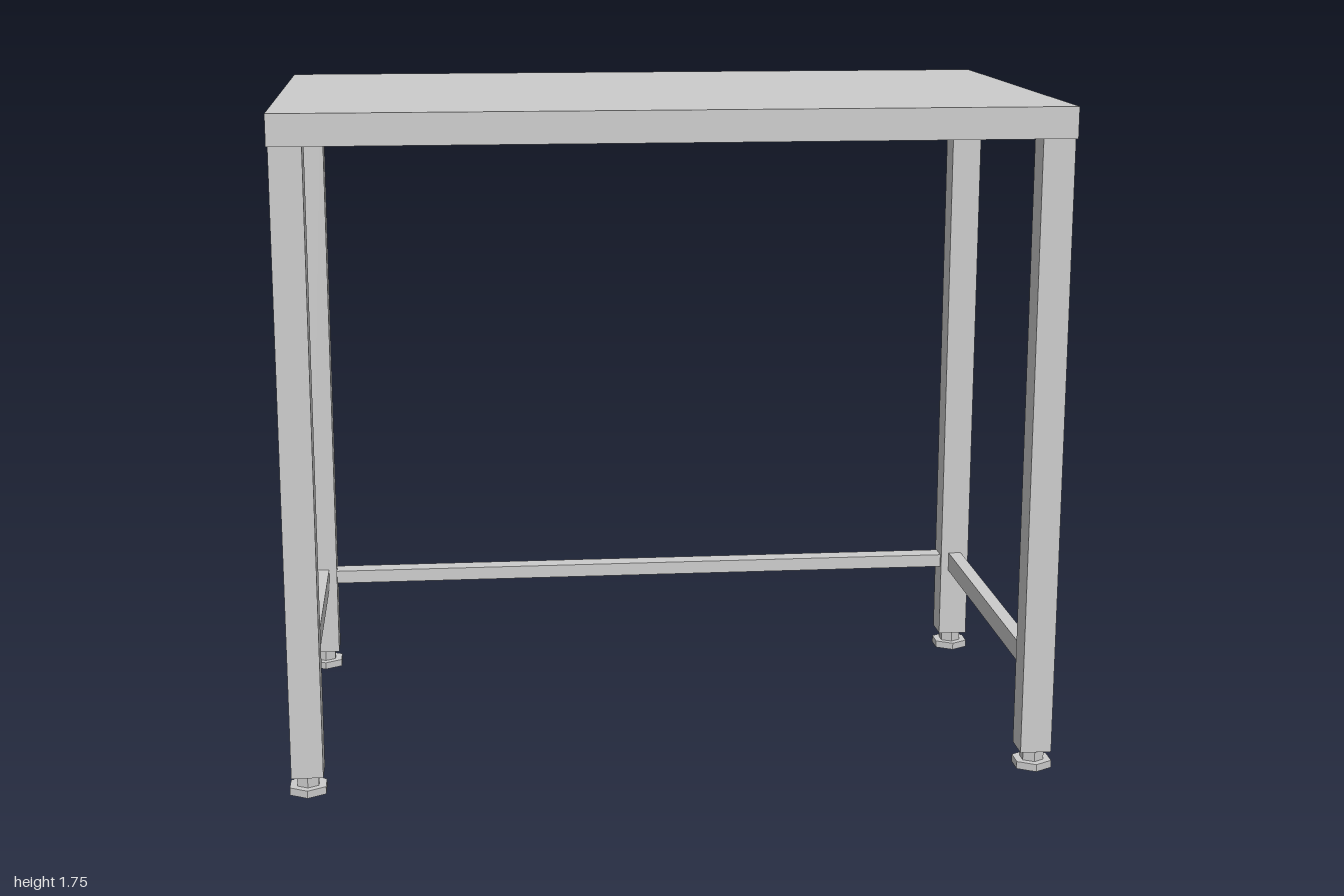
import * as THREE from 'three';

export function createModel() {
  const table = new THREE.Group();
  table.name = 'workTable';
  const material = new THREE.MeshStandardMaterial({ color: 0xcccccc, flatShading: true });

  const add = (parent, name, geometry, x, y, z) => {
    const mesh = new THREE.Mesh(geometry, material);
    mesh.name = name;
    mesh.position.set(x, y, z);
    parent.add(mesh);
    return mesh;
  };
  const box = (parent, name, w, h, d, x, y, z) =>
    add(parent, name, new THREE.BoxGeometry(w, h, d), x, y, z);

  // Tabletop: thin sheet folded down on all four sides, open underneath
  const halfX = 0.998, halfZ = 0.603, topY = 1.75, skirt = 0.08, sheet = 0.003;
  const top = new THREE.Group();
  top.name = 'tabletop';
  table.add(top);
  box(top, 'topSheet', 2 * halfX, sheet, 2 * halfZ, 0, topY - sheet / 2, 0);
  const skirtH = skirt - sheet, skirtY = topY - sheet - skirtH / 2;
  for (const s of [-1, 1]) {
    box(top, 'longSkirt', 2 * halfX, skirtH, sheet, 0, skirtY, s * (halfZ - sheet / 2));
    box(top, 'shortSkirt', sheet, skirtH, 2 * (halfZ - sheet), s * (halfX - sheet / 2), skirtY, 0);
  }

  // Square legs with hexagonal levelling feet; the rear pair is set in
  const leg = 0.082, legX = 0.9535, frontZ = 0.553, backZ = -0.44;
  const legBottom = 0.05, legTop = topY - sheet;
  for (const x of [-legX, legX]) {
    for (const z of [frontZ, backZ]) {
      const side = new THREE.Group();
      side.name = z > 0 ? 'frontLeg' : 'backLeg';
      side.position.set(x, 0, z);
      table.add(side);
      box(side, 'post', leg, legTop - legBottom, leg, 0, (legTop + legBottom) / 2, 0);
      add(side, 'footNeck', new THREE.CylinderGeometry(0.032, 0.032, 0.03, 6), 0, 0.035, 0);
      add(side, 'footPad', new THREE.CylinderGeometry(0.0535, 0.0535, 0.02, 6), 0, 0.01, 0);
    }
    // Side stretcher between front and back legs
    box(table, 'sideStretcher', 0.037, 0.055, frontZ - backZ - leg, x, 0.278, (frontZ + backZ) / 2);
  }

  // Rear stretcher, same bar laid flat
  box(table, 'backStretcher', 2 * legX - leg, 0.037, 0.055, 0, 0.278, backZ);

  return table;
}
